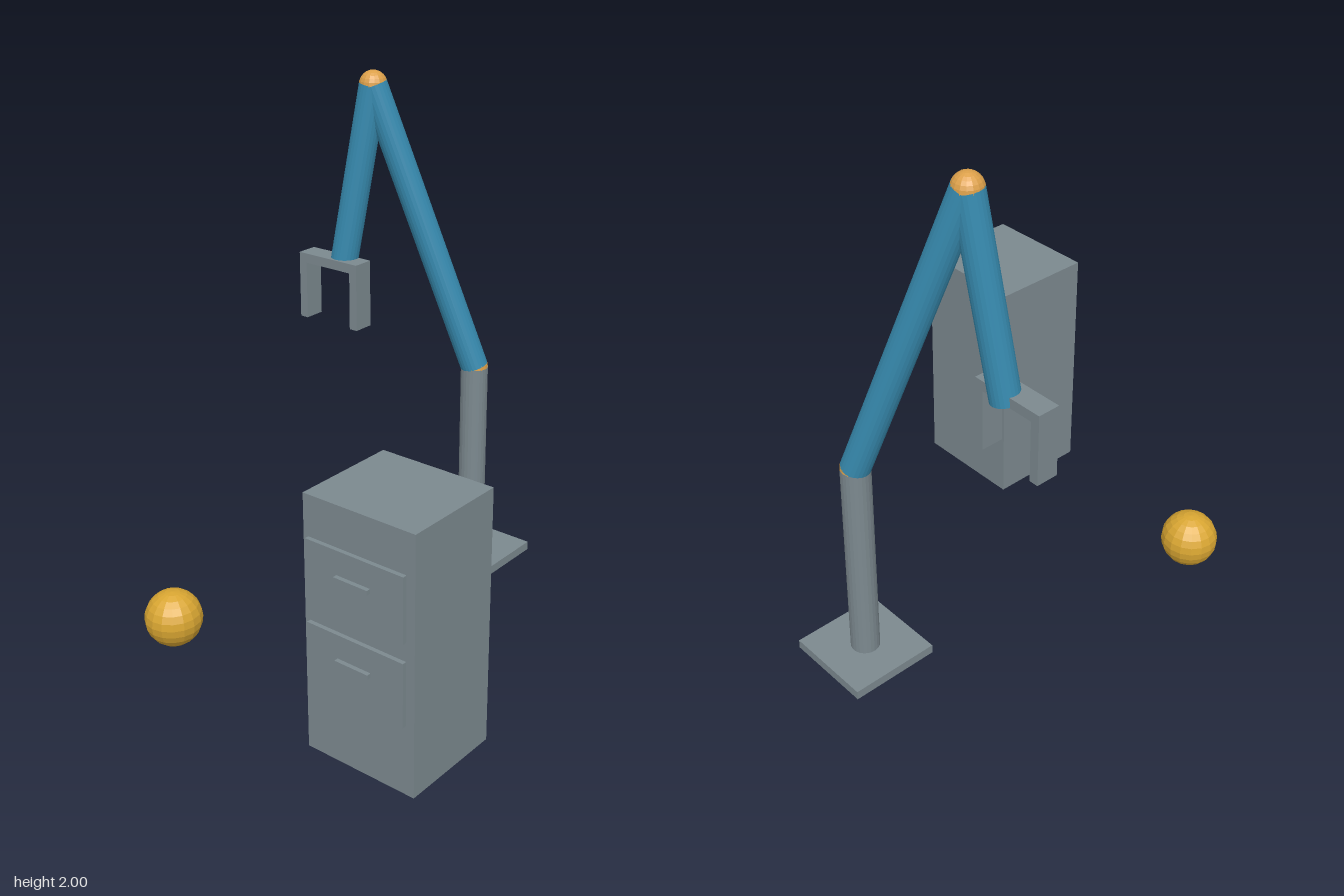
import * as THREE from 'three';

const mat = (name, color) => {
  const m = new THREE.MeshStandardMaterial({ color, flatShading: true });
  m.name = name;
  return m;
};

export function createModel() {
  const grey = mat('slate grey', 0x7c898f);
  const blue = mat('arm blue', 0x378bb0);
  const amber = mat('joint amber', 0xdca04a);
  const gold = mat('ball gold', 0xd9a632);
  const root = new THREE.Group();

  const group = (name) => {
    const g = new THREE.Group();
    g.name = name;
    root.add(g);
    return g;
  };
  const add = (parent, name, geometry, material, pos) => {
    const m = new THREE.Mesh(geometry, material);
    m.name = name;
    m.position.copy(pos);
    parent.add(m);
    return m;
  };
  // Box given by its extents on each axis
  const box = (parent, name, [x0, x1], [y0, y1], [z0, z1]) =>
    add(parent, name, new THREE.BoxGeometry(x1 - x0, y1 - y0, z1 - z0), grey,
      new THREE.Vector3((x0 + x1) / 2, (y0 + y1) / 2, (z0 + z1) / 2));
  // Cylinder running between two points
  const R = 0.054;
  const rod = (parent, name, a, b, material) => {
    const d = b.clone().sub(a);
    const m = add(parent, name, new THREE.CylinderGeometry(R, R, d.length(), 24),
      material, a.clone().add(b).multiplyScalar(0.5));
    m.quaternion.setFromUnitVectors(new THREE.Vector3(0, 1, 0), d.normalize());
  };

  // Robot arm: base, column, two links and their joints
  const arm = group('robotArm');
  const foot = new THREE.Vector3(-0.087, 0.035, -0.641);
  const shoulder = new THREE.Vector3(-0.087, 0.84, -0.641);
  const elbow = new THREE.Vector3(-0.436, 1.946, -0.44);
  const wrist = new THREE.Vector3(-0.541, 1.23, -0.379);
  box(arm, 'basePlate', [-0.26, 0.086], [0, 0.035], [-0.814, -0.468]);
  rod(arm, 'column', foot, shoulder, grey);
  rod(arm, 'upperArm', shoulder, elbow, blue);
  rod(arm, 'forearm', elbow, wrist, blue);
  add(arm, 'shoulderJoint', new THREE.SphereGeometry(R, 16, 12), amber, shoulder);
  add(arm, 'elbowJoint', new THREE.SphereGeometry(R, 16, 12), amber, elbow);

  // Gripper: cross bar with two fingers
  const grip = group('gripper');
  const gz = [-0.404, -0.319];
  box(grip, 'gripperBar', [-0.716, -0.426], [1.232, 1.27], gz);
  box(grip, 'rightFinger', [-0.716, -0.681], [1.003, 1.232], gz);
  box(grip, 'leftFinger', [-0.461, -0.426], [1.003, 1.232], gz);

  // Cabinet with two floating drawer fronts
  const cabinet = group('cabinet');
  box(cabinet, 'cabinetBody', [0.267, 0.711], [0, 0.946], [0.374, 0.773]);
  for (const y of [0.386, 0.688]) {
    box(cabinet, 'drawerFront', [0.295, 0.685], [y - 0.117, y + 0.117], [0.782, 0.798]);
    box(cabinet, 'drawerHandle', [0.422, 0.557], [y + 0.015, y + 0.031], [0.798, 0.814]);
  }

  // Ball
  add(root, 'ball', new THREE.SphereGeometry(0.109, 16, 12), gold,
    new THREE.Vector3(-0.543, 0.112, 0.614));

  return root;
}
